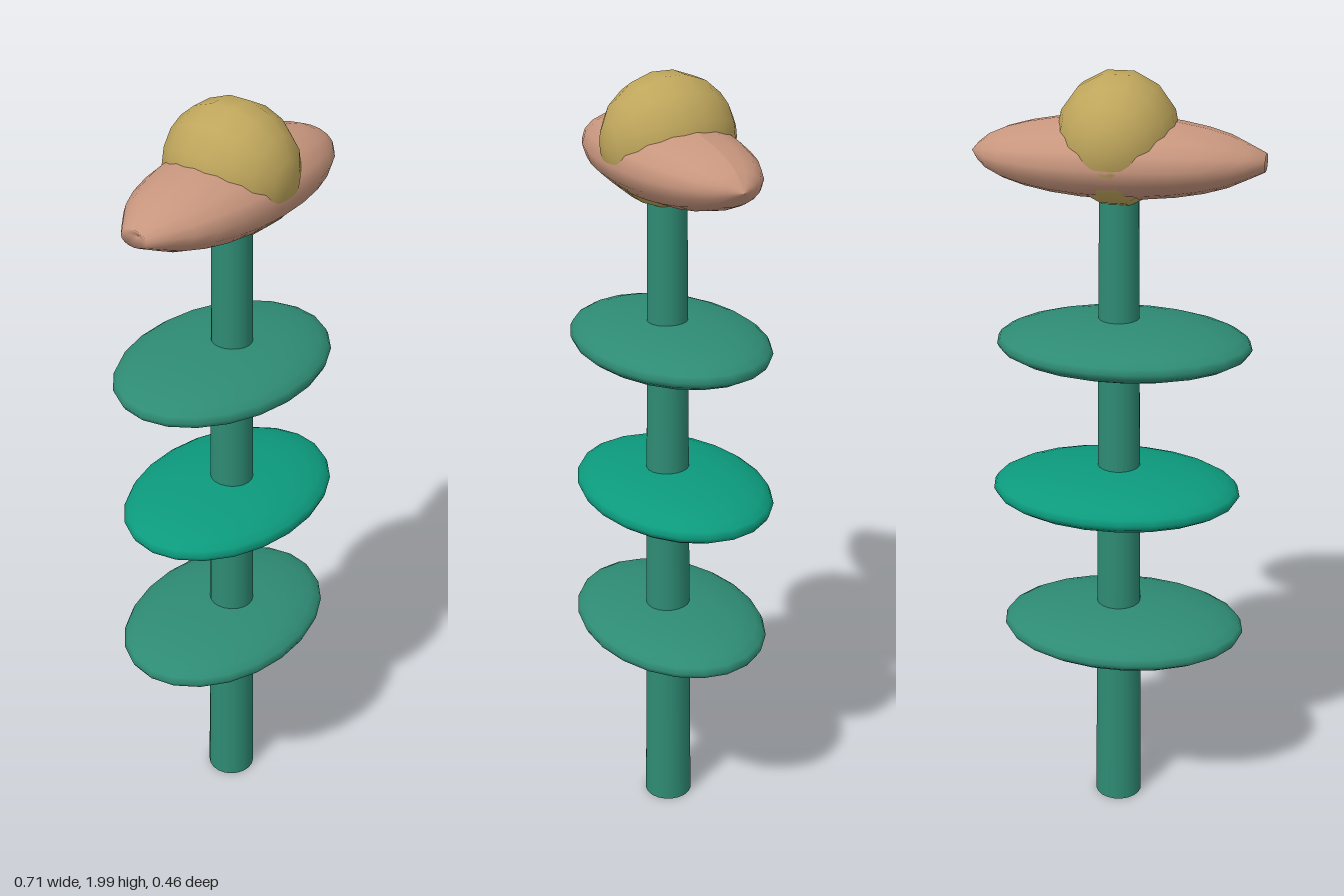
import * as THREE from 'three';

const GREEN = 0x2e8b74, BRIGHT = 0x0c9a7d, PINK = 0xc8967e, YELLOW = 0xbfa65c;

function part(name, geometry, color, x, y, z) {
  const mesh = new THREE.Mesh(geometry, new THREE.MeshStandardMaterial({ color }));
  mesh.name = name;
  mesh.position.set(x, y, z);
  return mesh;
}

// Sphere stretched to three radii, its poles on the chosen axis
function ellipsoid(rx, ry, rz, around, along, poles = 'y') {
  const g = new THREE.SphereGeometry(1, around, along);
  if (poles === 'x') g.rotateZ(-Math.PI / 2);
  if (poles === 'z') g.rotateX(Math.PI / 2);
  return g.scale(rx, ry, rz);
}

// Long petal body: pointed at one end, dented at the other
function petalGeometry() {
  const g = ellipsoid(0.345, 0.095, 0.16, 16, 14, 'x');
  const p = g.attributes.position;
  for (let i = 0; i < p.count; i++) {
    const x = p.getX(i);
    if (x > 0.344) p.setX(i, 0.355);
    else if (x < -0.344) p.setX(i, -0.338);
    else if (x < -0.33) p.setX(i, -0.355);
  }
  g.computeVertexNormals();
  return g;
}

export function createModel() {
  const model = new THREE.Group();
  model.name = 'flower';

  // Tapering stem, running up into the flower head
  model.add(part('stem', new THREE.CylinderGeometry(0.048, 0.063, 1.78, 20), GREEN, -0.005, 0.89, 0.014));

  // Three flat leaves threaded on the stem
  [['lowerLeaf', -0.02, 0.542, GREEN], ['middleLeaf', 0, 0.937, BRIGHT], ['upperLeaf', -0.02, 1.334, GREEN]]
    .forEach(([name, x, y, color]) => {
      model.add(part(name, ellipsoid(0.32, 0.061, 0.231, 22, 14), color, x, y, 0));
    });

  // Flower head: petals crossing a round centre
  model.add(part('petals', petalGeometry(), PINK, 0, 1.797, 0.012));
  model.add(part('flowerCentre', ellipsoid(0.148, 0.16, 0.166, 14, 9, 'z'), YELLOW, -0.004, 1.84, 0.011));

  return model;
}
